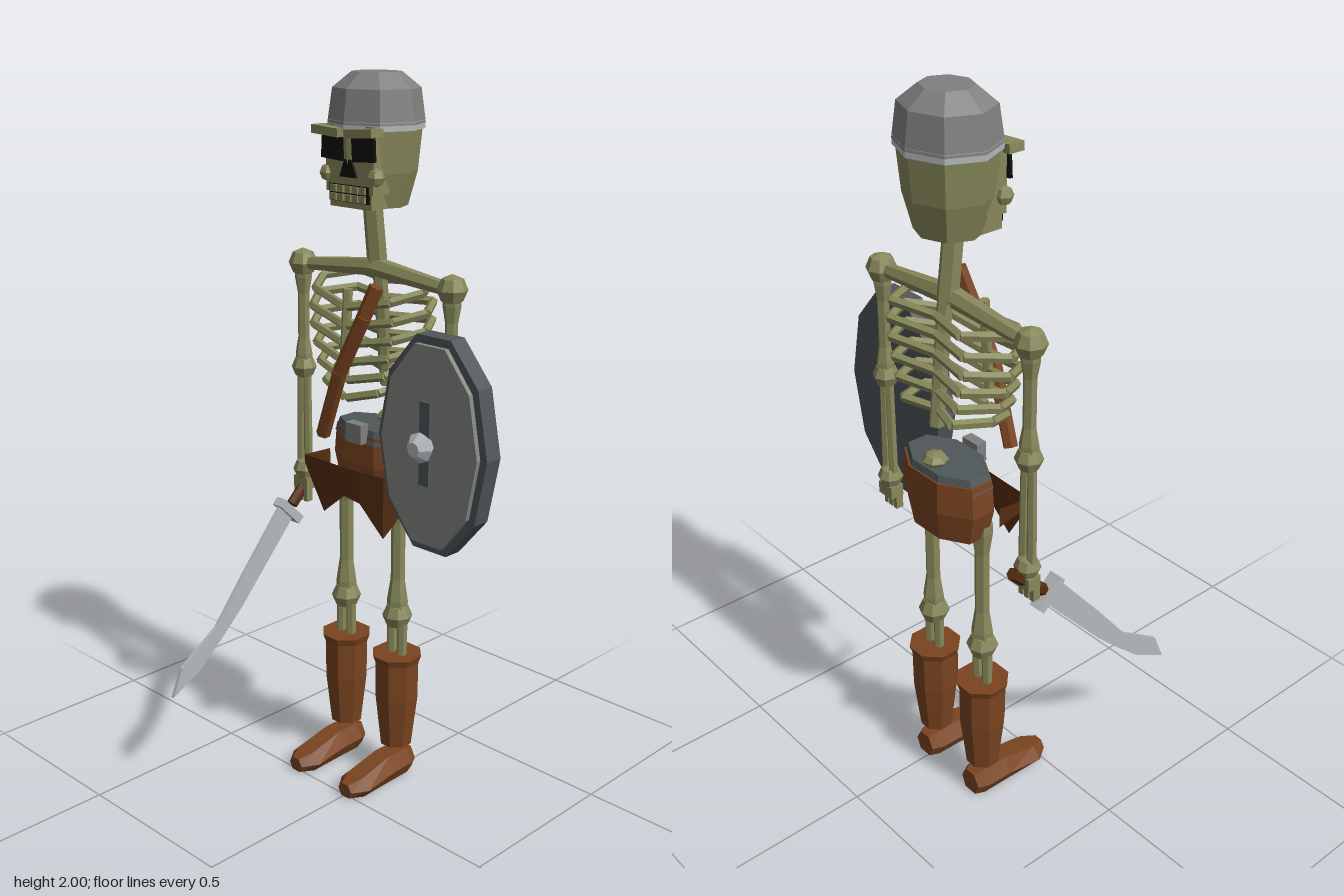
import * as THREE from 'three';

const mat = (name, color, side = THREE.FrontSide) => {
  const m = new THREE.MeshStandardMaterial({ color, flatShading: true, side });
  m.name = name;
  return m;
};
const V = (x, y, z) => new THREE.Vector3(x, y, z);

export function createModel() {
  const bone = mat('bone', 0x87885a);
  const black = mat('black', 0x0d0d0b);
  const leather = mat('leather', 0x7a4420);
  const darkLeather = mat('darkLeather', 0x542d10, THREE.DoubleSide);
  const iron = mat('iron', 0x80807f);
  const darkIron = mat('darkIron', 0x50575a);
  const steel = mat('steel', 0xb4b8bc);
  const shieldGrey = mat('shieldGrey', 0x858885);

  const root = new THREE.Group();
  root.name = 'skeletonWarrior';
  const CX = -0.09;

  const add = (name, geo, m, pos = [0, 0, 0], parent = root) => {
    const mesh = new THREE.Mesh(geo, m);
    mesh.name = name;
    mesh.position.set(...pos);
    parent.add(mesh);
    return mesh;
  };
  const box = (name, w, h, d, m, pos, parent) => add(name, new THREE.BoxGeometry(w, h, d), m, pos, parent);
  const lathe = (pts, n) => new THREE.LatheGeometry(pts.map(p => new THREE.Vector2(...p)), n);
  const align = (mesh, a, b) => {
    mesh.position.copy(a).add(b).multiplyScalar(0.5);
    mesh.quaternion.setFromUnitVectors(V(0, 1, 0), b.clone().sub(a).normalize());
    return mesh;
  };
  // plain rod between two points
  const rod = (name, a, b, r1, r2 = r1, m = bone, sides = 6, parent = root) =>
    align(add(name, new THREE.CylinderGeometry(r2, r1, a.distanceTo(b), sides), m, [0, 0, 0], parent), a, b);
  // long bone with thicker ends
  const longBone = (name, a, b, r) => {
    const h = a.distanceTo(b) / 2;
    const geo = lathe([[0, -h], [r * 1.25, -h], [r * 1.25, -h * 0.85], [r * 0.85, -h * 0.5],
      [r * 0.85, h * 0.5], [r * 1.25, h * 0.85], [r * 1.25, h], [0, h]], 6);
    return align(add(name, geo, bone), a, b);
  };
  const joint = (name, x, y, z, r) => add(name, new THREE.SphereGeometry(r, 8, 4), bone, [x, y, z]);

  // head
  const head = new THREE.Group();
  head.name = 'head';
  head.position.set(CX, 0, -0.205);
  root.add(head);
  add('skull', lathe([[0, 1.66], [0.088, 1.66], [0.113, 1.75], [0.125, 1.87], [0, 1.87]], 8), bone, [0, 0, 0], head).scale.z = 0.93;
  add('helmetRim', lathe([[0.122, 1.858], [0.132, 1.858], [0.132, 1.88], [0.122, 1.88]], 8), steel, [0, 0, 0], head).scale.z = 0.92;
  add('helmet', lathe([[0, 1.872], [0.133, 1.872], [0.12, 1.96], [0.068, 2.0], [0, 2.0]], 8), iron, [0, 0, 0], head).scale.z = 0.92;
  box('face', 0.17, 0.17, 0.06, bone, [0, 1.785, 0.07], head);
  box('jaw', 0.15, 0.07, 0.06, bone, [0, 1.695, 0.065], head);
  for (const s of [-1, 1]) {
    box('brow', 0.095, 0.022, 0.045, bone, [s * 0.06, 1.855, 0.11], head).rotation.z = s * 0.06;
    box('eyeSocket', 0.078, 0.06, 0.009, black, [s * 0.055, 1.812, 0.104], head).rotation.z = s * 0.06;
    add('cheekBone', new THREE.SphereGeometry(0.024, 6, 4), bone, [s * 0.087, 1.745, 0.09], head);
  }
  const nose = new THREE.Shape([[-0.03, 1.74], [0.03, 1.74], [0.012, 1.785], [-0.012, 1.785]].map(p => new THREE.Vector2(...p)));
  add('noseHole', new THREE.ExtrudeGeometry(nose, { depth: 0.008, bevelEnabled: false }), black, [0, 0, 0.099], head);
  box('mouth', 0.14, 0.044, 0.009, black, [0, 1.698, 0.098], head);
  for (let i = 0; i < 5; i++) {
    for (const y of [1.709, 1.687]) box('tooth', 0.02, 0.018, 0.009, bone, [(i - 2) * 0.026, y, 0.104], head);
  }

  // spine, sternum and ribs
  rod('neck', V(CX, 1.48, -0.215), V(CX, 1.68, -0.19), 0.028, 0.027);
  rod('spine', V(CX, 1.16, -0.255), V(CX, 1.5, -0.22), 0.02);
  rod('sternum', V(CX, 1.2, -0.085), V(CX, 1.45, -0.1), 0.014);
  for (let i = 0; i < 6; i++) {
    const y = 1.445 - i * 0.05;
    const k = [0.92, 1, 0.98, 0.9, 0.8, 0.66][i];
    for (const s of [-1, 1]) {
      const pts = [[0, 0.01, -0.25], [0.14, 0.015, -0.283], [0.2, 0.005, -0.19], [0.15, -0.015, -0.115], [0.01, -0.04, -0.09]]
        .map(p => V(CX + s * p[0] * k, y + p[1], p[2]));
      for (let j = 0; j < 4; j++) rod('rib', pts[j], pts[j + 1], 0.0125, 0.0125, bone, 5);
    }
  }

  // arms
  const armZ = -0.2;
  for (const s of [-1, 1]) {
    const x = CX + s * 0.276;
    rod('collarBone', V(CX, 1.495, -0.205), V(x, 1.47, armZ), 0.027, 0.018);
    joint('shoulder', x, 1.472, armZ, 0.041);
    longBone('upperArm', V(x, 1.19, armZ), V(x, 1.45, armZ), 0.02);
    joint('elbow', x, 1.17, armZ, 0.036);
    for (const d of [-1, 1]) rod('forearm', V(x + d * 0.015, 0.88, armZ), V(x + d * 0.012, 1.16, armZ), 0.013, 0.012);
    joint('wrist', x, 0.86, armZ, 0.035);
    box('palm', 0.055, 0.035, 0.04, bone, [x, 0.82, armZ]);
    for (let f = -1; f <= 1; f++) box('finger', 0.014, 0.05, 0.022, bone, [x + f * 0.02, 0.79, armZ + 0.008]);
  }

  // hips, belt and apron
  const hips = add('hips', lathe([[0, 0.865], [0.13, 0.865], [0.152, 0.95], [0.145, 1.035], [0, 1.035]], 8), leather, [CX, 0, -0.224]);
  hips.geometry.rotateY(Math.PI / 8);
  hips.scale.z = 0.59;
  const belt = add('beltTop', new THREE.CylinderGeometry(0.132, 0.148, 0.04, 8), darkIron, [CX, 1.034, -0.222]);
  belt.geometry.rotateY(Math.PI / 8);
  belt.scale.z = 0.59;
  box('buckle', 0.058, 0.055, 0.03, iron, [CX, 1.045, -0.135]);
  add('spineStub', new THREE.SphereGeometry(0.034, 7, 4), bone, [CX, 1.065, -0.262]).scale.y = 0.6;

  const cols = [[-0.24, -0.18, 0.9], [-0.25, -0.09, 0.93], [-0.172, -0.088, 0.805], [-0.09, -0.085, 0.872],
    [-0.03, -0.085, 0.865], [0.05, -0.095, 0.78], [0.068, -0.12, 0.82], [0.06, -0.19, 0.865]];
  const pos = [], idx = [];
  cols.forEach(([x, z, y], i) => {
    pos.push(x, y, z, x, 0.955, z);
    if (i) idx.push(2 * i - 2, 2 * i, 2 * i - 1, 2 * i, 2 * i + 1, 2 * i - 1);
  });
  const apron = new THREE.BufferGeometry();
  apron.setAttribute('position', new THREE.Float32BufferAttribute(pos, 3));
  apron.setIndex(idx);
  apron.computeVertexNormals();
  add('apron', apron, darkLeather);

  // chest strap
  const sp = [V(-0.145, 1.045, -0.06), V(-0.06, 1.24, -0.04), V(0.02, 1.4, -0.048), V(0.05, 1.48, -0.062)];
  for (let i = 0; i < 3; i++) rod('chestStrap', sp[i], sp[i + 1], 0.02, 0.02, leather, 6);

  // legs and boots
  for (const s of [-1, 1]) {
    const x = CX + s * 0.102, z = -0.198;
    longBone('thigh', V(x, 0.53, z), V(x, 0.9, z), 0.024);
    joint('knee', x, 0.51, z, 0.043);
    for (const d of [-1, 1]) rod('shin', V(x + d * 0.018, 0.3, z), V(x + d * 0.02, 0.5, z), 0.014, 0.015);
    const boot = add('bootShaft', lathe([[0, 0.105], [0.047, 0.105], [0.065, 0.26], [0.066, 0.37], [0.074, 0.392], [0, 0.392]], 8), leather, [x, 0, z]);
    boot.geometry.rotateY(Math.PI / 8);
    // foot lofted from six-sided sections: z, half width, bottom, top
    const secs = [[-0.245, 0.035, 0.008, 0.075], [-0.215, 0.05, 0.004, 0.084], [-0.14, 0.052, 0.004, 0.084],
      [-0.03, 0.056, 0.003, 0.06], [0.014, 0.025, 0.008, 0.048]];
    const p = [], f = [];
    secs.forEach(([sz, w, b, t], i) => {
      const m = (b + t) / 2;
      p.push(w, m, sz, w * 0.5, t, sz, -w * 0.5, t, sz, -w, m, sz, -w * 0.6, b, sz, w * 0.6, b, sz);
      if (i) for (let j = 0; j < 6; j++) {
        const a = (i - 1) * 6 + j, c = (i - 1) * 6 + (j + 1) % 6;
        f.push(a, c, a + 6, c, c + 6, a + 6);
      }
    });
    const e = (secs.length - 1) * 6;
    for (let j = 1; j < 5; j++) f.push(0, j + 1, j, e, e + j, e + j + 1);
    const foot = new THREE.BufferGeometry();
    foot.setAttribute('position', new THREE.Float32BufferAttribute(p, 3));
    foot.setIndex(f);
    foot.computeVertexNormals();
    add('foot', foot, leather, [x, 0, 0]);
  }

  // shield
  const disc = (name, rx, ry, z0, z1, m) => {
    const pts = Array.from({ length: 10 }, (_, i) => new THREE.Vector2(rx * Math.cos(i * Math.PI / 5), ry * Math.sin(i * Math.PI / 5)));
    add(name, new THREE.ExtrudeGeometry(new THREE.Shape(pts), { depth: z1 - z0, bevelEnabled: false }), m, [0.213, 1.08, z0]);
  };
  disc('shieldBody', 0.186, 0.305, -0.153, -0.1, darkIron);
  disc('shieldFront', 0.164, 0.282, -0.1, -0.086, shieldGrey);
  box('shieldBar', 0.034, 0.225, 0.01, darkIron, [0.207, 1.09, -0.083]);
  const boss = add('shieldBoss', lathe([[0, -0.026], [0.026, -0.026], [0.042, 0], [0.02, 0.025], [0, 0.025]], 8), steel, [0.207, 1.085, -0.061]);
  boss.rotation.x = Math.PI / 2;

  // sword in the right hand, outline drawn as (z, y)
  const sx = CX - 0.276;
  const outline = [[-0.15, 0.73], [0.06, 0.5], [0.14, 0.425], [0.22, 0.355], [0.325, 0.3], [0.29, 0.38], [0.16, 0.465], [0.05, 0.6], [-0.1, 0.775]];
  const bladeGeo = new THREE.ExtrudeGeometry(new THREE.Shape(outline.map(([z, y]) => new THREE.Vector2(-z, y))), { depth: 0.01, bevelEnabled: false });
  bladeGeo.rotateY(Math.PI / 2);
  add('blade', bladeGeo, steel, [sx - 0.005, 0, 0]);
  box('guard', 0.036, 0.1, 0.026, steel, [sx, 0.745, -0.13]).rotation.x = -Math.PI / 4 + Math.PI / 2;
  rod('grip', V(sx, 0.76, -0.145), V(sx, 0.86, -0.25), 0.017, 0.017, darkLeather);
  return root;
}
